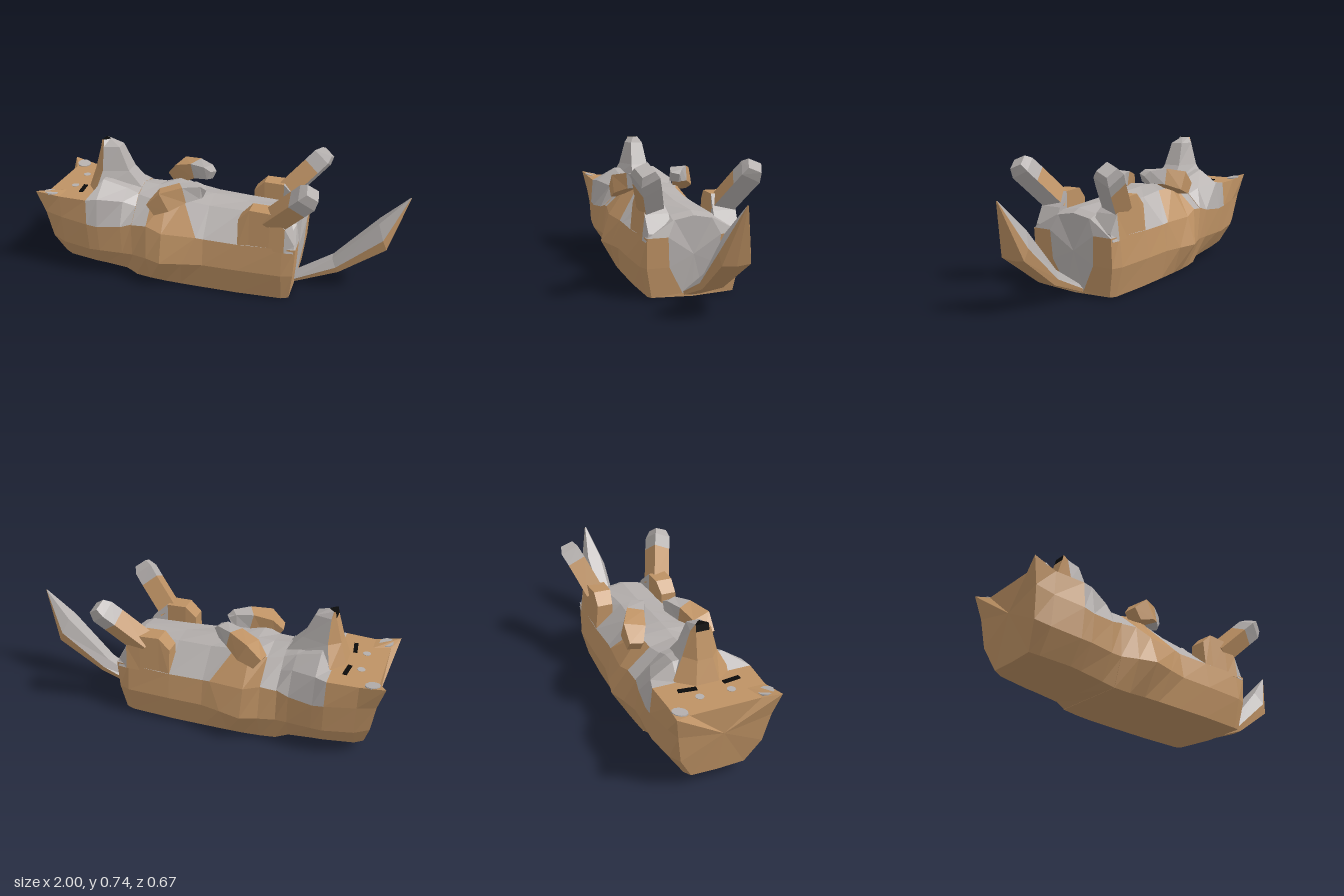
import * as THREE from 'three';

const mat = (name, color) => {
  const m = new THREE.MeshStandardMaterial({ color });
  m.name = name;
  return m;
};
const TAN = 0, PALE = 1, BLACK = 2;

export function createModel() {
  const mats = [mat('tanFur', 0xbe9264), mat('paleFur', 0xb4afad), mat('black', 0x0a0a0a)];
  const model = new THREE.Group();
  model.name = 'dogLyingOnBack';

  // Skins closed rings of points, flat faced; colour(i, j) picks a material per band, caps use i = -1 and i = last
  function loft(name, rings, colour) {
    const tris = [[], [], []];
    let volume = 0;
    const tri = (c, a, b, d) => {
      tris[c].push([a, b, d]);
      const [A, B, D] = [a, b, d].map(p => new THREE.Vector3(p[0], p[1] - 0.3, p[2]));
      volume += A.dot(B.cross(D));
    };
    const n = rings[0].length, last = rings.length - 1;
    for (let i = 0; i < last; i++) for (let j = 0; j < n; j++) {
      const k = (j + 1) % n, [a, b] = [rings[i], rings[i + 1]], c = colour(i, j);
      tri(c, a[j], b[j], b[k]);
      tri(c, a[j], b[k], a[k]);
    }
    for (const [i, ring] of [[-1, rings[0]], [last, rings[last]]]) {
      const mid = [0, 1, 2].map(d => ring.reduce((s, p) => s + p[d], 0) / n);
      for (let j = 0; j < n; j++) {
        const k = (j + 1) % n, c = colour(i, j);
        if (i < 0) tri(c, mid, ring[j], ring[k]); else tri(c, mid, ring[k], ring[j]);
      }
    }
    const pos = [], geo = new THREE.BufferGeometry();
    tris.forEach((list, c) => {
      if (!list.length) return;
      geo.addGroup(pos.length / 3, list.length * 3, c);
      for (const [a, b, d] of list) pos.push(...a, ...(volume < 0 ? [...d, ...b] : [...b, ...d]));
    });
    geo.setAttribute('position', new THREE.Float32BufferAttribute(pos, 3));
    geo.computeVertexNormals();
    const mesh = new THREE.Mesh(geo, mats);
    mesh.name = name;
    model.add(mesh);
  }

  // Half a section (first and last point at z = 0) mirrored into a full ring
  const mirror = half => [...half, ...half.slice(1, -1).reverse().map(([x, y, z]) => [x, y, -z])];
  const station = (x, yz) => mirror(yz.map(([y, z, dx = 0]) => [x + dx, y, z]));
  // Band number counted from the bottom on either side
  const band = (j, n) => Math.min(j, n - 1 - j);

  // Four-sided limb along [x, y, z, halfWidth] points; side 0 faces down and forward, rolled by twist
  function limb(name, path, twist, colour) {
    const P = path.map(p => new THREE.Vector3(p[0], p[1], p[2]));
    const rings = P.map((p, i) => {
      const t = P[Math.min(i + 1, P.length - 1)].clone().sub(P[Math.max(i - 1, 0)]).normalize();
      const u = t.clone().cross(new THREE.Vector3(0, 0, 1)).normalize(), v = t.clone().cross(u);
      return [0, 1, 2, 3].map(k => {
        const a = (k - 0.5) * Math.PI / 2 + twist, r = path[i][3] * Math.SQRT2;
        return p.clone().addScaledVector(u, r * Math.cos(a)).addScaledVector(v, r * Math.sin(a)).toArray();
      });
    });
    loft(name, rings, colour);
  }

  // Body: belly up, with a pale rump panel inset in the rear end
  const body = [
    station(-0.46, [[0.01, 0], [0.01, 0.2], [0.16, 0.245], [0.34, 0.24], [0.47, 0.11], [0.5, 0]]),
    station(-0.37, [[0.003, 0], [0.005, 0.21], [0.165, 0.275], [0.35, 0.25], [0.46, 0.13], [0.49, 0]]),
    station(-0.28, [[0, 0], [0.005, 0.22], [0.165, 0.31], [0.32, 0.26], [0.48, 0.15], [0.49, 0]]),
    station(-0.19, [[0, 0], [0.005, 0.225], [0.165, 0.285, 0.03], [0.315, 0.245, 0.1], [0.47, 0.12], [0.485, 0]]),
    station(-0.05, [[0, 0], [0.005, 0.23], [0.165, 0.265], [0.31, 0.24], [0.45, 0.11], [0.475, 0]]),
    station(0.14, [[0, 0], [0.005, 0.235], [0.165, 0.27], [0.31, 0.25], [0.44, 0.1], [0.45, 0]]),
    station(0.38, [[0, 0], [0.005, 0.23], [0.165, 0.27], [0.32, 0.255], [0.42, 0.11], [0.44, 0]]),
    station(0.43, [[0, 0, -0.01], [0.01, 0.22, -0.01], [0.165, 0.25, 0.01], [0.32, 0.25, 0.02], [0.4, 0.11], [0.42, 0]]),
    station(0.43, [[0.005, 0, -0.01], [0.02, 0.055, -0.01], [0.165, 0.132, 0.01], [0.32, 0.14, 0.02], [0.4, 0.1], [0.42, 0]]),
  ];
  loft('body', body, (i, j) => {
    const b = band(j, 10);
    if (i === 8 || b === 4) return PALE;
    if (b === 3) return i === 1 || i === 2 ? TAN : PALE;
    return TAN;
  });

  // Head: face up, first ring drawn out into the ear tips
  const head = [
    mirror([[-0.915, 0.065, 0], [-0.915, 0.07, 0.14], [-0.945, 0.2, 0.21], [-0.965, 0.36, 0.235],
      [-1, 0.49, 0.26], [-0.96, 0.465, 0.18], [-0.96, 0.465, 0]]),
    station(-0.87, [[0.055, 0], [0.06, 0.16], [0.18, 0.235], [0.34, 0.245], [0.465, 0.245], [0.465, 0.15], [0.465, 0]]),
    station(-0.71, [[0.045, 0], [0.05, 0.18], [0.165, 0.255], [0.325, 0.268], [0.465, 0.255], [0.465, 0.13], [0.465, 0]]),
    station(-0.65, [[0.04, 0], [0.045, 0.18], [0.165, 0.255], [0.315, 0.265], [0.47, 0.24], [0.545, 0.13], [0.55, 0]]),
    station(-0.52, [[0.025, 0], [0.03, 0.18], [0.16, 0.245], [0.325, 0.25], [0.45, 0.19], [0.5, 0.11], [0.52, 0]]),
    station(-0.455, [[0.01, 0], [0.01, 0.2], [0.16, 0.245], [0.345, 0.24], [0.42, 0.165], [0.475, 0.11], [0.5, 0]]),
  ];
  loft('head', head, (i, j) => (i >= 2 && i < 5 && band(j, 12) >= 3 ? PALE : TAN));

  // Muzzle: tan bridge, pale cheeks and chin, black nose at the tip
  const muzzle = [
    [0.46, -0.77, -0.7, -0.43, 0.06, 0.15, 0.06],
    [0.575, -0.73, -0.67, -0.53, 0.04, 0.09, 0.05],
    [0.705, -0.692, -0.67, -0.585, 0.034, 0.053, 0.035],
    [0.738, -0.685, -0.675, -0.648, 0.033, 0.03, 0.004],
  ].map(([y, x0, x1, x2, z0, z1, z2]) =>
    [[x0, y, z0], [x1, y, z1], [x2, y, z2], [x2, y, -z2], [x1, y, -z1], [x0, y, -z0]]);
  loft('muzzleAndNose', muzzle, (i, j) => {
    if (i === 3 || (i === 2 && j === 5)) return BLACK;
    return i >= 0 && (j === 0 || j >= 4) ? TAN : PALE;
  });

  const plate = (name, geo, m, x, y, z) => {
    const mesh = new THREE.Mesh(geo, mats[m]);
    mesh.name = name;
    mesh.position.set(x, y, z);
    model.add(mesh);
    return mesh;
  };

  for (const s of [1, -1]) {
    const side = s > 0 ? 'left' : 'right';

    // Painted face details
    plate(side + 'Eye', new THREE.BoxGeometry(0.022, 0.009, 0.09), BLACK, -0.785, 0.467, s * 0.113).rotation.y = s * 0.12;
    plate(side + 'BrowSpot', new THREE.CylinderGeometry(0.021, 0.021, 0.006, 10), PALE, -0.85, 0.464, s * 0.08);
    plate(side + 'EarPatch', new THREE.CylinderGeometry(0.038, 0.038, 0.009, 10), PALE, -0.93, 0.471, s * 0.215)
      .rotation.set(s * -0.15, 0, -0.12);

    // Folded foreleg with pale paw, the left one resting lower
    const drop = s > 0 ? -0.025 : 0.004;
    limb(side + 'Foreleg', [[-0.35, 0.465, 0.2, 0.035], [-0.28, 0.515, 0.185, 0.055],
      [-0.19, 0.547, 0.14, 0.044], [-0.115, 0.552, 0.095, 0.035], [-0.09, 0.54, 0.08, 0.026]]
      .map(([x, y, z, r]) => [x, y + drop, s * z, r]), 0, i => (i >= 2 ? PALE : TAN));

    // Thigh, pale behind
    const thigh = [[0.14, 0.3, 0.45, 0.15, 0.25], [0.2, 0.3, 0.51, 0.14, 0.25],
      [0.31, 0.3, 0.505, 0.14, 0.255], [0.39, 0.3, 0.43, 0.12, 0.26], [0.44, 0.3, 0.34, 0.12, 0.255]]
      .map(([x, y0, y1, z0, z1]) => [[x, y0, s * z0], [x, y0, s * z1], [x, y1, s * (z1 - 0.015)], [x, y1, s * z0]]);
    loft(side + 'Thigh', thigh, (i, j) => (i >= 3 || (i === 2 && j >= 2) ? PALE : TAN));

    // Raised hind leg, pale beneath and at the paw
    limb(side + 'HindLeg', [[0.31, 0.44, s * 0.19, 0.052], [0.45, 0.585, s * 0.25, 0.052],
      [0.5, 0.637, s * 0.274, 0.052], [0.528, 0.67, s * 0.284, 0.036]], s * 0.33,
    (i, j) => (i >= 1 || j === 0 ? PALE : TAN));
  }

  // Tail: pale above, tan keel below
  const tail = [
    [0.4, 0, 0.42, 0.05, 0.052, 0], [0.66, 0.1, 0.62, 0.17, 0.06, -0.012],
    [0.905, 0.27, 0.85, 0.41, 0.078, -0.025], [1, 0.56, 0.995, 0.56, 0.003, -0.03],
  ].map(([xb, yb, xt, yt, w, zc]) => {
    const at = (f, z) => [xb + (xt - xb) * f, yb + (yt - yb) * f, zc + z];
    return [at(0, 0), at(0.05, w * 0.9), at(0.45, w), at(1, w * 0.5), at(1, -w * 0.5), at(0.45, -w), at(0.05, -w * 0.9)];
  });
  loft('tail', tail, (i, j) => (j >= 2 && j <= 4 ? PALE : TAN));

  return model;
}
